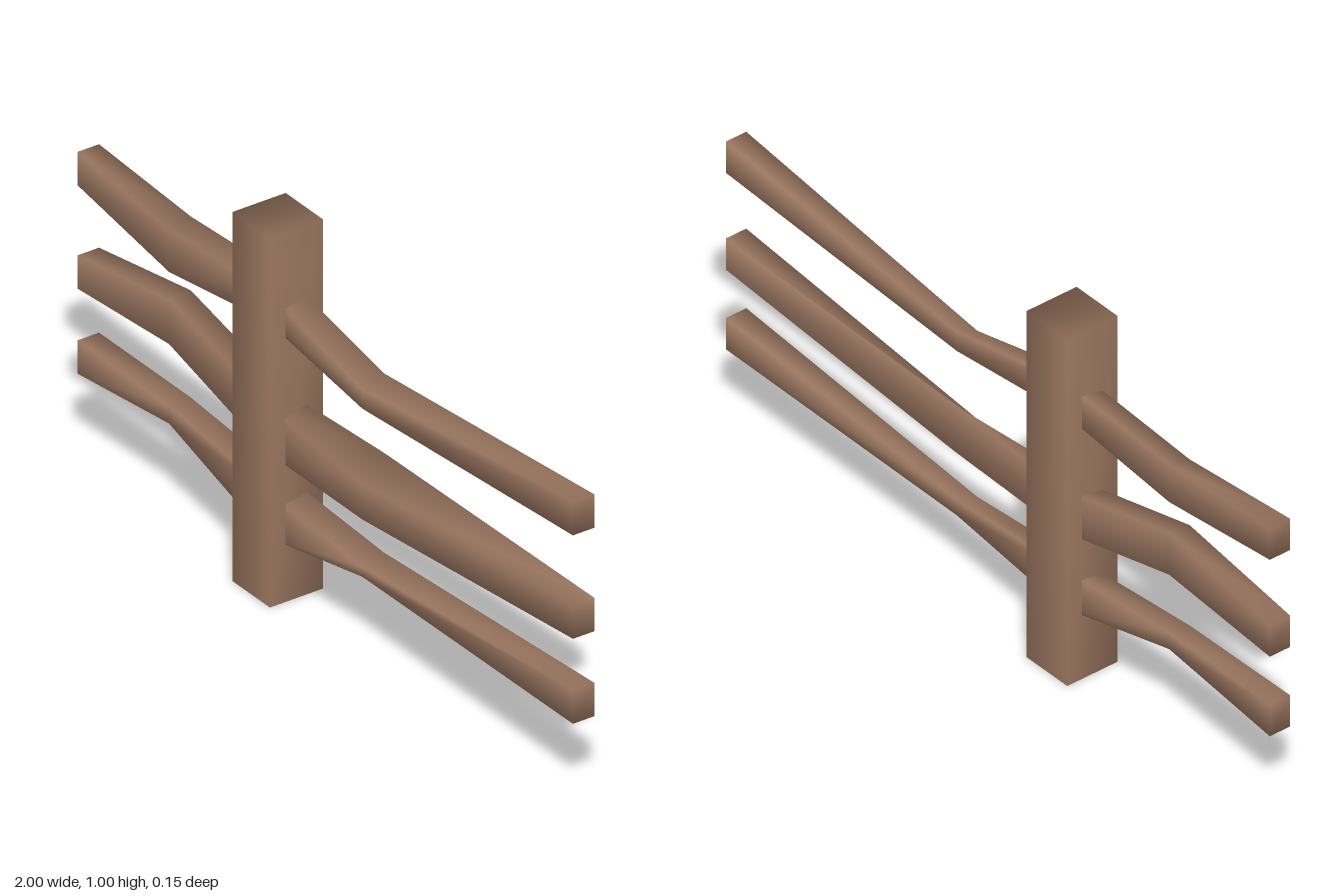
import * as THREE from 'three';
import { mergeVertices } from 'three/addons/utils/BufferGeometryUtils.js';

// Box whose corners share one averaged normal, giving a soft hewn look
function softBox(w, h, d, segments = 1, shape = null) {
  const box = new THREE.BoxGeometry(w, h, d, segments, 1, 1);
  box.deleteAttribute('normal');
  box.deleteAttribute('uv');
  const geometry = mergeVertices(box);
  if (shape) shape(geometry.attributes.position);
  geometry.computeVertexNormals();
  return geometry;
}

const stations = [-1, -0.63, -0.235, 0.15, 1];

// Per station: front bottom, front top, back bottom, back top heights
const rails = {
  topRail: [
    [0.73, 0.82, 0.73, 0.82], [0.67, 0.785, 0.69, 0.8], [0.725, 0.81, 0.73, 0.82],
    [0.67, 0.72, 0.69, 0.745], [0.73, 0.82, 0.73, 0.82],
  ],
  middleRail: [
    [0.45, 0.54, 0.45, 0.54], [0.475, 0.595, 0.48, 0.6], [0.37, 0.5, 0.385, 0.51],
    [0.37, 0.465, 0.395, 0.53], [0.45, 0.54, 0.45, 0.54],
  ],
  bottomRail: [
    [0.22, 0.31, 0.22, 0.31], [0.26, 0.305, 0.265, 0.31], [0.14, 0.27, 0.165, 0.28],
    [0.215, 0.24, 0.215, 0.26], [0.22, 0.31, 0.22, 0.31],
  ],
};

export function createModel() {
  const model = new THREE.Group();
  model.name = 'fenceSection';
  const wood = new THREE.MeshStandardMaterial({ color: 0x9c7760 });
  wood.name = 'brownWood';

  // Upright post
  const post = new THREE.Mesh(softBox(0.15, 1, 0.152), wood);
  post.name = 'post';
  post.position.set(-0.235, 0.5, 0);
  model.add(post);

  // Crooked rails running through the post
  for (const [name, heights] of Object.entries(rails)) {
    const geometry = softBox(1, 1, 0.062, 4, (p) => {
      for (let i = 0; i < p.count; i++) {
        const s = Math.round((p.getX(i) + 0.5) * 4);
        const corner = (p.getZ(i) > 0 ? 0 : 2) + (p.getY(i) > 0 ? 1 : 0);
        p.setXYZ(i, stations[s], heights[s][corner], p.getZ(i));
      }
    });
    const rail = new THREE.Mesh(geometry, wood);
    rail.name = name;
    model.add(rail);
  }
  return model;
}
